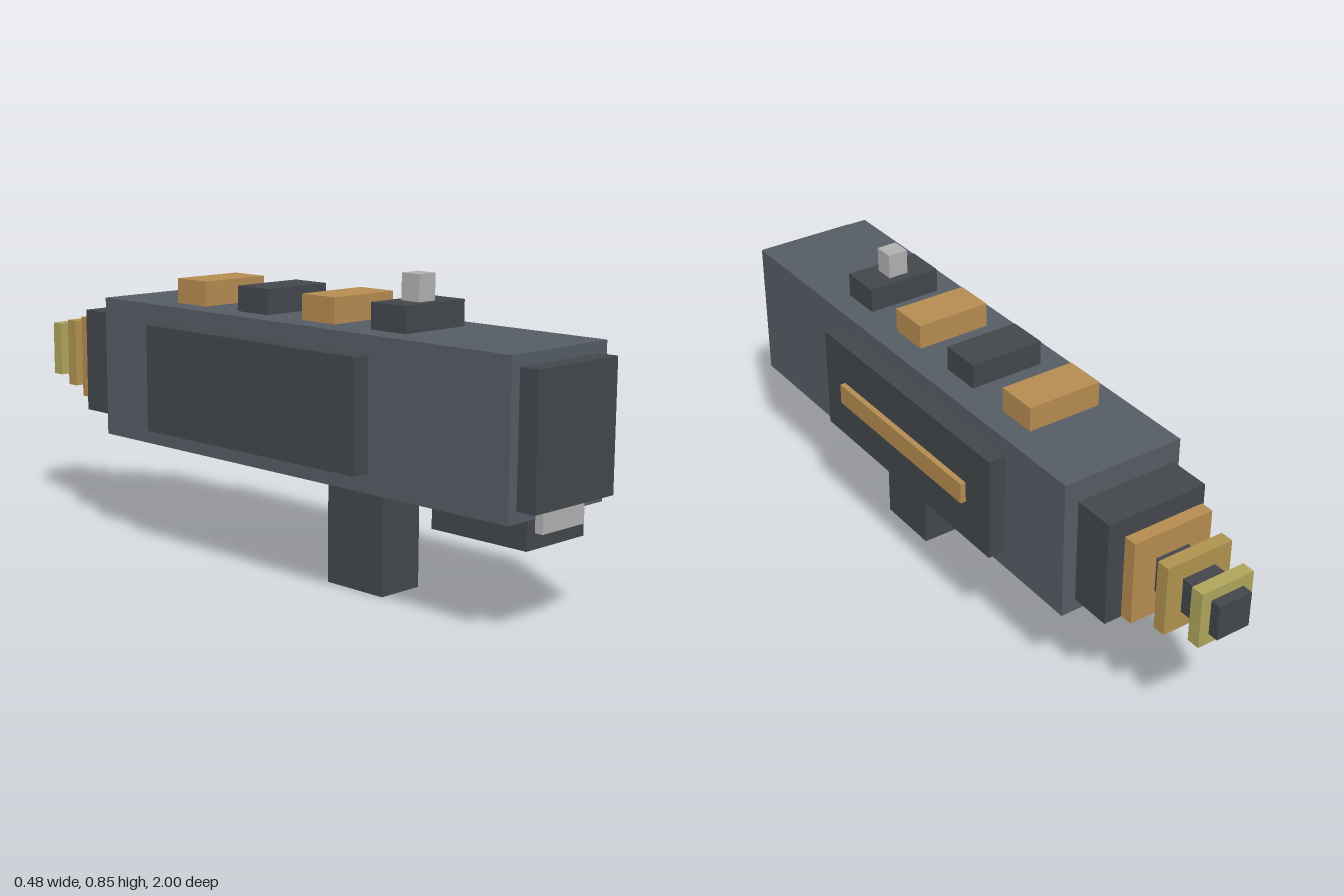
import * as THREE from 'three';

const mat = (color) => new THREE.MeshStandardMaterial({ color });

export function createModel() {
  const model = new THREE.Group();
  model.name = 'toyBlaster';
  const hull = mat(0x555c64), dark = mat(0x42464b), orange = mat(0xb58b50);
  const brass = mat(0xb0924f), yellow = mat(0xaea45c), grey = mat(0xb0b0b0);
  const midX = -0.01, midY = 0.506;

  // Box given by its extents along each axis
  const block = (name, material, [x0, x1], [y0, y1], [z0, z1]) => {
    const mesh = new THREE.Mesh(new THREE.BoxGeometry(x1 - x0, y1 - y0, z1 - z0), material);
    mesh.position.set((x0 + x1) / 2, (y0 + y1) / 2, (z0 + z1) / 2);
    mesh.name = name;
    model.add(mesh);
  };
  // Square-on box centred on the barrel axis
  const axial = (name, material, w, h, z) =>
    block(name, material, [midX - w / 2, midX + w / 2], [midY - h / 2, midY + h / 2], z);

  // Main housing and its end pieces
  axial('body', hull, 0.362, 0.403, [-0.57, 0.945]);
  axial('frontPlate', dark, 0.302, 0.343, [0.945, 1]);
  axial('rearCollar', dark, 0.302, 0.302, [-0.705, -0.585]);

  // Barrel with three shrinking rings
  axial('barrel', dark, 0.1, 0.1, [-1, -0.705]);
  [[orange, 0.242, -0.75], [brass, 0.2, -0.849], [yellow, 0.16, -0.951]].forEach(([m, s, z], i) =>
    axial(`barrelRing${i + 1}`, m, s, s, [z - 0.019, z + 0.019]));

  // Side panels, with a strip on the left one
  block('leftPanel', dark, [0.172, 0.222], [0.356, 0.657], [-0.32, 0.49]);
  block('rightPanel', dark, [-0.242, -0.19], [0.356, 0.657], [-0.32, 0.49]);
  block('sideStrip', orange, [0.222, 0.238], [0.476, 0.536], [-0.215, 0.39]);

  // Row of blocks along the top
  [0.49, 0.24, -0.013, -0.267].forEach((z, i) =>
    block(`topBlock${i + 1}`, i % 2 ? orange : dark, [-0.12, 0.1], [0.708, 0.778], [z - 0.06, z + 0.06]));
  block('topKnob', grey, [-0.04, 0.02], [0.778, 0.849], [0.46, 0.52]);

  // Underside
  block('lowerBlock', dark, [-0.12, 0.1], [0.23, 0.305], [0.645, 0.945]);
  block('frontTab', grey, [-0.09, 0.07], [0.27, 0.345], [0.945, 0.968]);
  block('grip', dark, [-0.08, 0.06], [0, 0.305], [0.24, 0.44]);

  return model;
}
